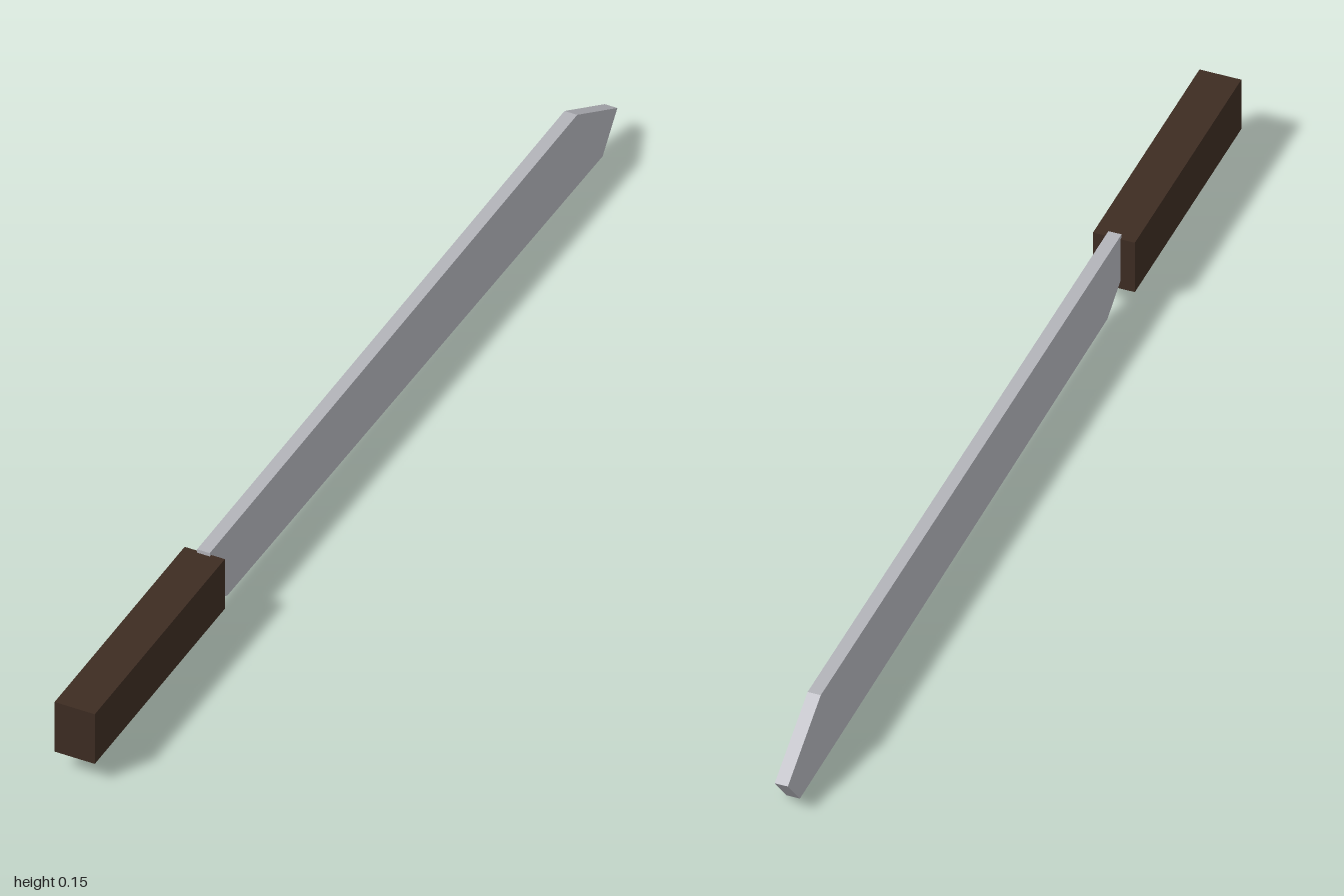
import * as THREE from 'three';

export function createModel() {
  const steel = new THREE.MeshStandardMaterial({ color: 0xb2b3b9 });
  steel.name = 'steel';
  const darkWood = new THREE.MeshStandardMaterial({ color: 0x3d2c22 });
  darkWood.name = 'darkWood';

  const model = new THREE.Group();
  model.name = 'machete';

  // Blade: side outline as (distance toward the tip, height), extruded to its thickness
  const thickness = 0.024;
  const outline = [
    [-0.52, 0.06], [-0.455, 0.018], [0.945, 0], [1, 0.065], [0.85, 0.152], [-0.52, 0.152],
  ].map(([x, y]) => new THREE.Vector2(x, y));
  const bladeGeometry = new THREE.ExtrudeGeometry(new THREE.Shape(outline), {
    depth: thickness,
    bevelEnabled: false,
  });
  bladeGeometry.translate(0, 0, -thickness / 2);
  bladeGeometry.rotateY(Math.PI / 2); // tip points to -z
  const blade = new THREE.Mesh(bladeGeometry, steel);
  blade.name = 'blade';
  model.add(blade);

  // Handle: plain square-edged grip
  const handle = new THREE.Mesh(new THREE.BoxGeometry(0.076, 0.105, 0.485), darkWood);
  handle.name = 'handle';
  handle.position.set(0, 0.0925, 0.7575);
  model.add(handle);

  return model;
}
